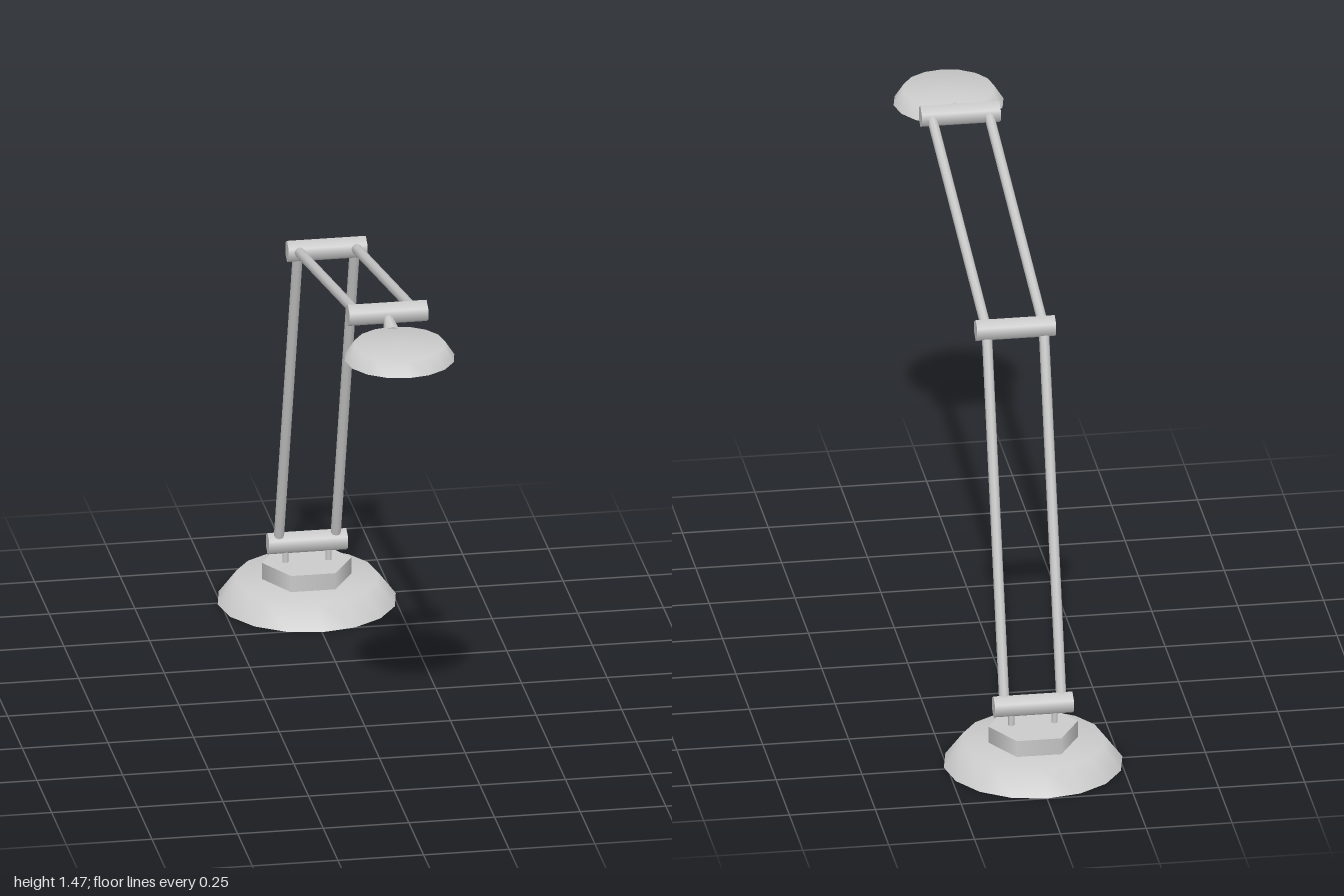
import * as THREE from 'three';

const material = new THREE.MeshStandardMaterial({ color: 0xcccccc });
const thin = new THREE.MeshStandardMaterial({ color: 0xcccccc, side: THREE.DoubleSide });

export function createModel() {
  const lamp = new THREE.Group();

  const add = (name, geometry, x, y, z, mat = material) => {
    const mesh = new THREE.Mesh(geometry, mat);
    mesh.name = name;
    mesh.position.set(x, y, z);
    lamp.add(mesh);
    return mesh;
  };

  // Tapered rod between two points
  const rod = (name, a, b, r0, r1, sides) => {
    const dir = b.clone().sub(a);
    const mid = a.clone().add(b).multiplyScalar(0.5);
    const mesh = add(name, new THREE.CylinderGeometry(r1, r0, dir.length(), sides), mid.x, mid.y, mid.z);
    mesh.quaternion.setFromUnitVectors(new THREE.Vector3(0, 1, 0), dir.normalize());
    return mesh;
  };

  // Softly shaded dish with a flat top, open underneath
  const dish = (bottom, top, height, sides) => new THREE.LatheGeometry(
    [[bottom, 0], [top, height], [0, height]].map(([r, y]) => new THREE.Vector2(r, y)), sides);

  // Base and its hexagonal plinth
  const baseZ = -0.74;
  add('base', dish(0.26, 0.207, 0.07, 16), 0, 0, baseZ, thin);
  const plinth = new THREE.CylinderGeometry(0.13, 0.13, 0.06, 6).rotateY(Math.PI / 2);
  add('plinth', plinth, 0, 0.09, baseZ);

  // Hinges: [name, y, z]
  const hinges = [['baseHinge', 0.18, -0.737], ['elbowHinge', 1.22, -0.405], ['headHinge', 1.435, 0.63]];
  for (const [name, y, z] of hinges) {
    const barrel = new THREE.CylinderGeometry(0.033, 0.033, 0.23, 6).rotateZ(Math.PI / 2).rotateX(Math.PI / 2);
    add(name, barrel, 0, y, z);
  }

  // Twin arms and the pins carrying the lower hinge
  for (const side of [-1, 1]) {
    const points = hinges.map(([, y, z]) => new THREE.Vector3(side * 0.083, y, z));
    rod('lowerArm', points[0], points[1], 0.015, 0.015, 8);
    rod('upperArm', points[1], points[2], 0.015, 0.015, 8);
    add('pin', new THREE.CylinderGeometry(0.009, 0.009, 0.06, 8), side * 0.063, 0.14, -0.737);
  }

  // Head: neck, shade and flat light panel
  rod('neck', new THREE.Vector3(0, 1.43, 0.645), new THREE.Vector3(0, 1.404, 0.715), 0.012, 0.026, 8);
  add('shade', dish(0.16, 0.132, 0.043, 16), 0, 1.38, 0.84, thin);
  add('lightPanel', new THREE.CircleGeometry(0.16, 16).rotateX(Math.PI / 2), 0, 1.38, 0.84);

  return lamp;
}
